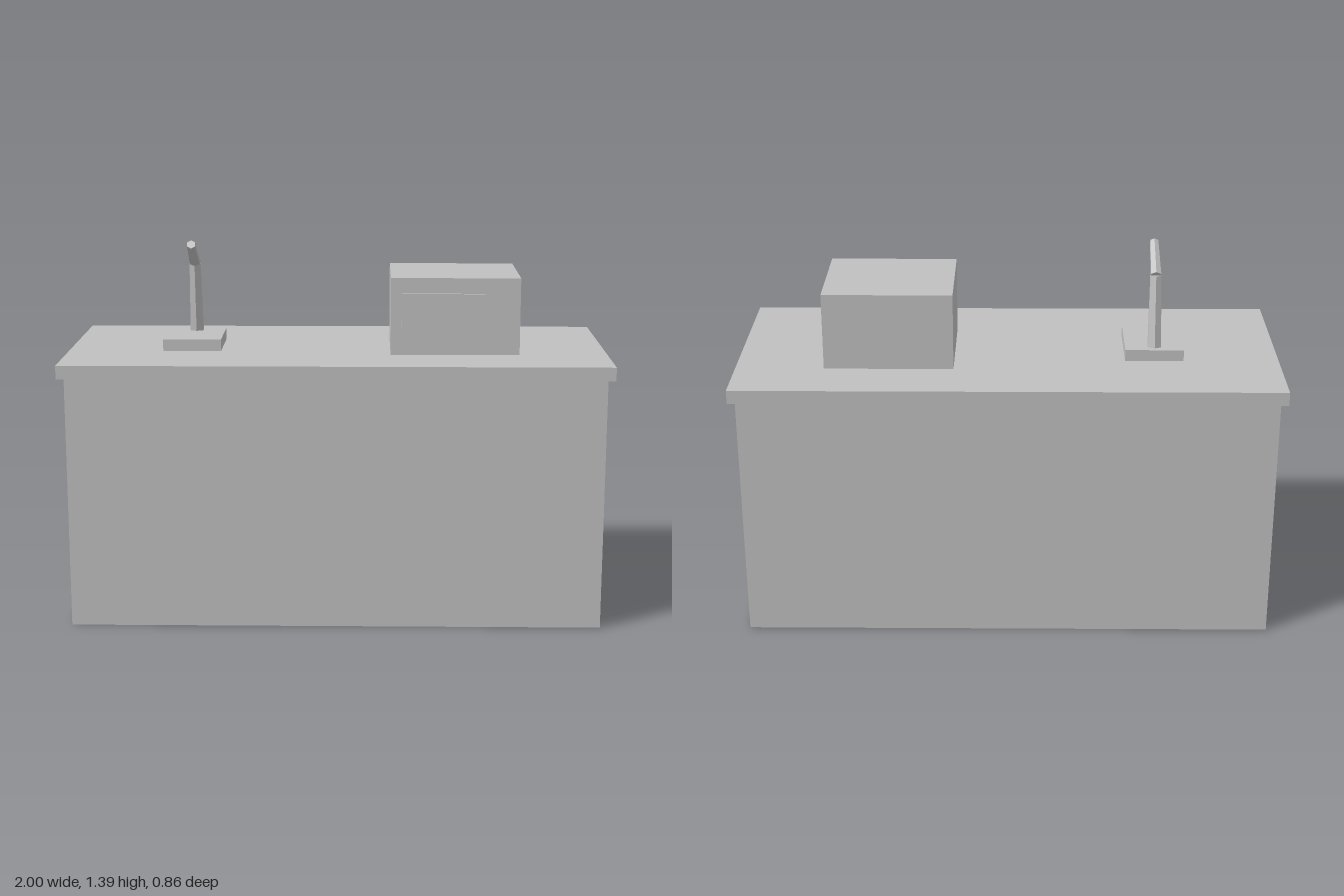
import * as THREE from 'three';

export function createModel() {
  const model = new THREE.Group();
  model.name = 'counterWithTapAndOven';
  const grey = new THREE.MeshStandardMaterial({ color: 0xc0c0c0, flatShading: true });
  grey.name = 'plainGrey';

  // Box given by its lower and upper corners
  function box(name, [x0, y0, z0], [x1, y1, z1], parent = model) {
    const mesh = new THREE.Mesh(new THREE.BoxGeometry(x1 - x0, y1 - y0, z1 - z0), grey);
    mesh.position.set((x0 + x1) / 2, (y0 + y1) / 2, (z0 + z1) / 2);
    mesh.name = name;
    parent.add(mesh);
  }

  // Tapered six-sided rod between two points
  function rod(name, from, to, rFrom, rTo, parent) {
    const a = new THREE.Vector3(...from), b = new THREE.Vector3(...to);
    const dir = b.clone().sub(a);
    const mesh = new THREE.Mesh(new THREE.CylinderGeometry(rTo, rFrom, dir.length(), 6), grey);
    mesh.position.copy(a).add(b).multiplyScalar(0.5);
    mesh.quaternion.setFromUnitVectors(new THREE.Vector3(0, 1, 0), dir.normalize());
    mesh.name = name;
    parent.add(mesh);
  }

  // Cabinet and worktop
  box('cabinet', [-0.975, 0, -0.41], [0.975, 0.93, 0.41]);
  box('worktop', [-1, 0.93, -0.43], [1, 0.98, 0.43]);

  // Oven with a raised door
  const oven = new THREE.Group();
  oven.name = 'oven';
  box('ovenBody', [0.2, 0.98, -0.217], [0.675, 1.265, 0.196], oven);
  box('ovenDoor', [0.24, 1.035, 0.196], [0.547, 1.208, 0.208], oven);

  // Tap: plate, leaning post and raised spout
  const tap = new THREE.Group();
  tap.name = 'tap';
  box('tapPlate', [-0.648, 0.98, -0.132], [-0.432, 1.023, 0.13], tap);
  rod('tapPost', [-0.541, 1.02, -0.088], [-0.541, 1.285, -0.047], 0.028, 0.023, tap);
  rod('tapSpout', [-0.541, 1.285, -0.053], [-0.541, 1.373, 0.086], 0.022, 0.017, tap);

  model.add(oven, tap);
  return model;
}
